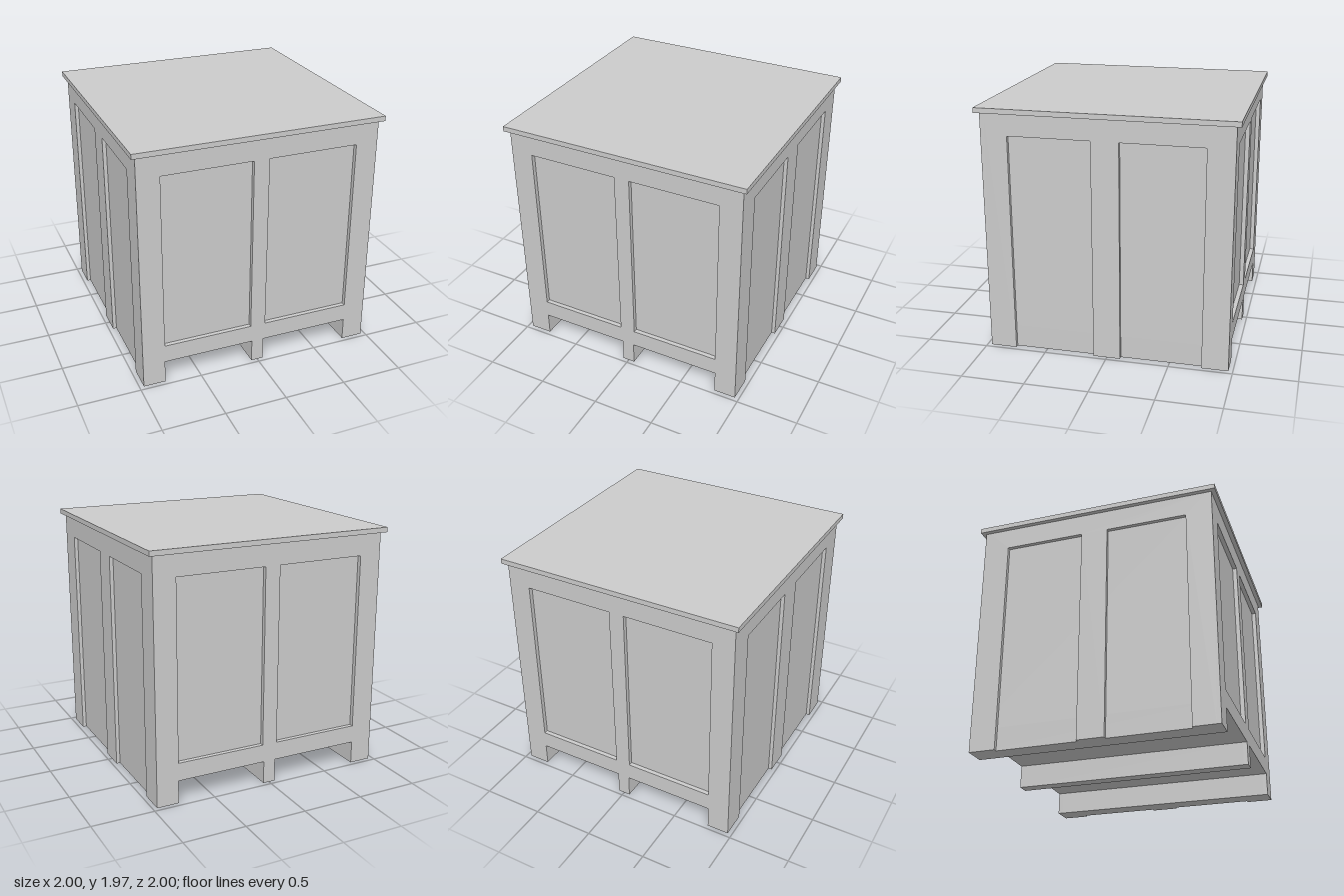
import * as THREE from 'three';

const material = new THREE.MeshStandardMaterial({ color: 0xcccccc, flatShading: true });

const HALF = 0.965;        // half width of the carcass
const FLOOR = 0.185;       // underside of the carcass
const TOP = 1.93;          // underside of the lid
const PANEL_TOP = 1.757;
const FACE = 0.035;        // thickness of the front and back frames
const SIDE = 0.03;         // thickness of the side frames

export function createModel() {
  const group = new THREE.Group();
  group.name = 'panelledCrate';

  const add = (name, geometry, x = 0, y = 0, z = 0, turn = 0) => {
    const mesh = new THREE.Mesh(geometry, material);
    mesh.name = name;
    mesh.position.set(x, y, z);
    mesh.rotation.y = turn;
    group.add(mesh);
  };
  const outline = (points) => new THREE.Shape(points.map(([x, y]) => new THREE.Vector2(x, y)));
  const plate = (shape, depth) => new THREE.ExtrudeGeometry(shape, { depth, bevelEnabled: false });

  // Lid with a small overhang
  add('lid', new THREE.BoxGeometry(2, 0.04, 2), 0, TOP + 0.02, 0);

  // Core, whose faces show as the recessed panels
  const coreX = HALF - SIDE, coreZ = HALF - FACE;
  add('core', new THREE.BoxGeometry(coreX * 2, TOP - FLOOR, coreZ * 2), 0, (TOP + FLOOR) / 2, 0);

  // Runners under the floor, from front to back
  const runner = (name, x0, x1) =>
    add(name, new THREE.BoxGeometry(x1 - x0, FLOOR, coreZ * 2), (x0 + x1) / 2, FLOOR / 2, 0);
  runner('leftRunner', 0.787, coreX);
  runner('middleRunner', -0.05, 0.05);
  runner('rightRunner', -coreX, -0.787);

  // Front and back frames: two panel openings, three feet
  const face = outline([
    [-HALF, 0], [-0.787, 0], [-0.787, FLOOR], [-0.05, FLOOR], [-0.05, 0],
    [0.05, 0], [0.05, FLOOR], [0.787, FLOOR], [0.787, 0], [HALF, 0],
    [HALF, TOP], [-HALF, TOP],
  ]);
  for (const [a, b] of [[-0.785, -0.062], [0.062, 0.785]]) {
    face.holes.push(outline([[a, 0.33], [a, PANEL_TOP], [b, PANEL_TOP], [b, 0.33]]));
  }
  add('frontFrame', plate(face, FACE), 0, 0, coreZ);
  add('backFrame', plate(face, FACE), 0, 0, -coreZ, Math.PI);

  // Side frames: the panel openings run down to the ground
  const side = outline([
    [-coreZ, 0], [-0.755, 0], [-0.755, PANEL_TOP], [-0.108, PANEL_TOP], [-0.108, 0],
    [0.108, 0], [0.108, PANEL_TOP], [0.755, PANEL_TOP], [0.755, 0], [coreZ, 0],
    [coreZ, TOP], [-coreZ, TOP],
  ]);
  add('leftFrame', plate(side, SIDE), coreX, 0, 0, Math.PI / 2);
  add('rightFrame', plate(side, SIDE), -coreX, 0, 0, -Math.PI / 2);

  return group;
}
